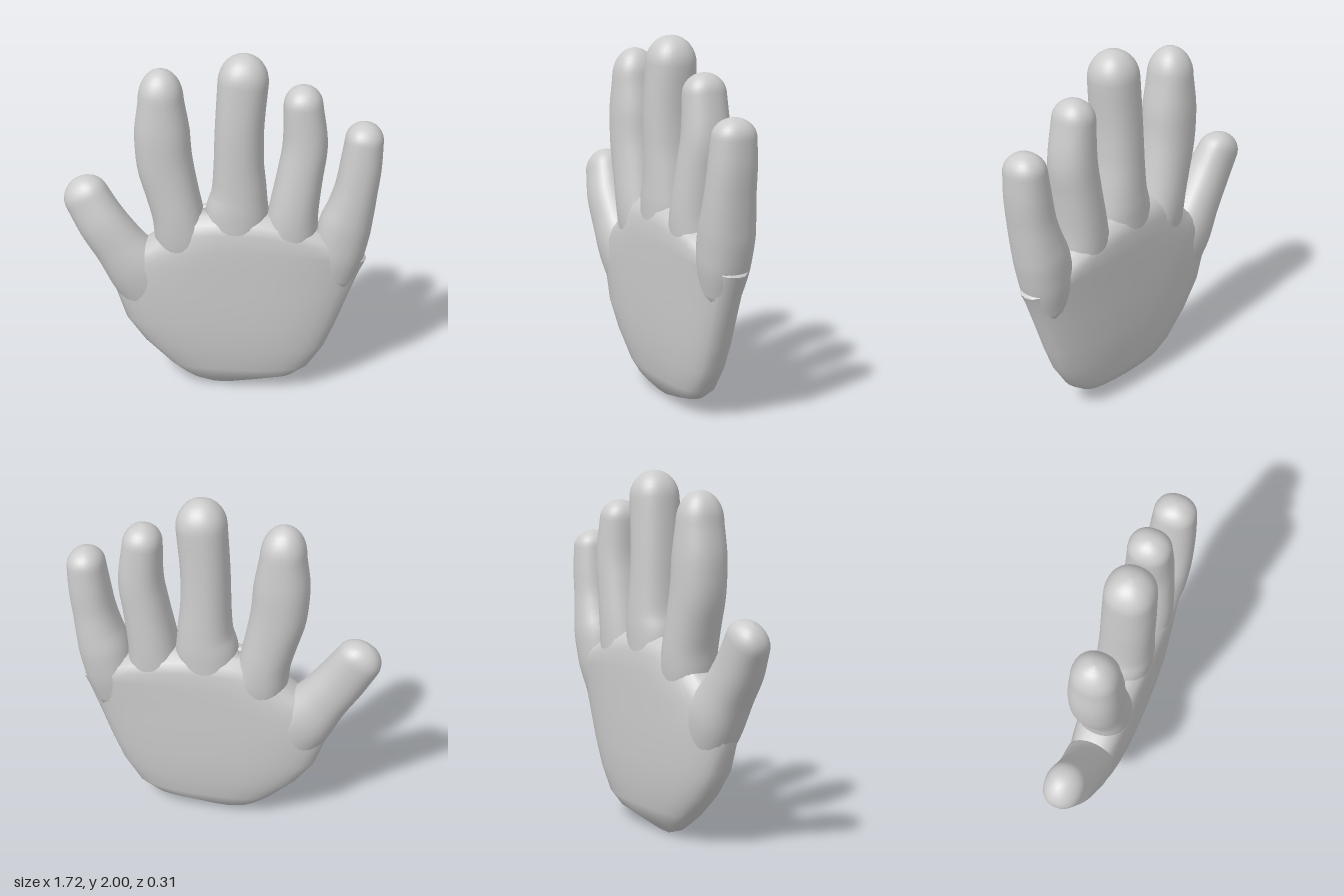
import * as THREE from 'three';

const SIDES = 32;
const material = new THREE.MeshStandardMaterial({ color: 0xcccccc });

// Closed smooth skin over a stack of rings, each an array of SIDES points
function loft(name, rings) {
  const pos = [], index = [];
  for (const ring of rings) for (const p of ring) pos.push(p.x, p.y, p.z);
  const centre = (ring) => {
    const c = new THREE.Vector3();
    ring.forEach((p) => c.add(p));
    c.divideScalar(SIDES);
    pos.push(c.x, c.y, c.z);
    return pos.length / 3 - 1;
  };
  const last = (rings.length - 1) * SIDES;
  const bottom = centre(rings[0]);
  const top = centre(rings[rings.length - 1]);
  for (let j = 0; j < SIDES; j++) {
    const k = (j + 1) % SIDES;
    for (let a = 0; a < last; a += SIDES) {
      const b = a + SIDES;
      index.push(a + j, b + j, a + k, b + j, b + k, a + k);
    }
    index.push(bottom, j, k, top, last + k, last + j);
  }
  const geometry = new THREE.BufferGeometry();
  geometry.setAttribute('position', new THREE.Float32BufferAttribute(pos, 3));
  geometry.setIndex(index);
  geometry.computeVertexNormals();
  const mesh = new THREE.Mesh(geometry, material);
  mesh.name = name;
  return mesh;
}

const power = (v, e) => Math.sign(v) * Math.abs(v) ** e;

// Palm rows: height, x from, x to, half depth, arch (how far the sides drop)
function createPalm() {
  const rows = [
    [0, -0.04, 0.06, 0.003, 0],
    [0.04, -0.15, 0.24, 0.042, 0],
    [0.085, -0.21, 0.41, 0.085, 0],
    [0.15, -0.29, 0.5, 0.115, 0],
    [0.29, -0.43, 0.59, 0.134, 0],
    [0.44, -0.535, 0.65, 0.148, 0],
    [0.64, -0.6, 0.72, 0.151, 0],
    [0.8, -0.61, 0.77, 0.152, 0.05],
    [0.92, -0.47, 0.8, 0.153, 0.15],
    [1.02, -0.36, 0.8, 0.15, 0.35],
    [1.08, -0.33, 0.77, 0.132, 0.45],
    [1.12, -0.31, 0.74, 0.085, 0.5],
    [1.135, -0.3, 0.72, 0.01, 0.5],
  ];
  return loft('palm', rows.map(([y, x0, x1, depth, arch]) =>
    Array.from({ length: SIDES }, (_, j) => {
      const a = (j / SIDES) * Math.PI * 2;
      const x = (x0 + x1) / 2 + ((x1 - x0) / 2) * power(Math.cos(a), 0.74);
      return new THREE.Vector3(x, y - arch * (x - 0.08) ** 2, depth * power(Math.sin(a), 0.74));
    })));
}

// Finger keys from root to tip: x, y, half width, half depth, z; then a domed end
function createFinger(name, keys, tipLength) {
  const path = new THREE.CatmullRomCurve3(keys.map((k) => new THREE.Vector3(k[0], k[1], k[4])));
  const size = new THREE.CatmullRomCurve3(keys.map((k) => new THREE.Vector3(k[2], k[3], 0)));
  const ringAt = (p, dir, w, d) => Array.from({ length: SIDES }, (_, j) => {
    const a = (j / SIDES) * Math.PI * 2;
    const c = w * power(Math.cos(a), 0.9);
    return new THREE.Vector3(p.x + dir.y * c, p.y - dir.x * c, p.z + d * power(Math.sin(a), 0.9));
  });
  const rings = [];
  const steps = 24;
  for (let i = 0; i <= steps; i++) {
    const t = i / steps;
    const s = size.getPoint(t);
    rings.push(ringAt(path.getPoint(t), path.getTangent(t), s.x, s.y));
  }
  const end = path.getPoint(1), dir = path.getTangent(1), s = size.getPoint(1);
  for (let i = 1; i <= 8; i++) {
    const a = (i / 8) * 1.53;
    const p = end.clone().addScaledVector(dir, tipLength * Math.sin(a));
    rings.push(ringAt(p, dir, s.x * Math.cos(a), s.y * Math.cos(a)));
  }
  return loft(name, rings);
}

export function createModel() {
  const hand = new THREE.Group();
  hand.name = 'hand';
  hand.add(
    createPalm(),
    createFinger('thumb', [
      [-0.33, 0.52, 0.17, 0.1, 0],
      [-0.46, 0.73, 0.17, 0.135, 0],
      [-0.565, 0.885, 0.143, 0.128, 0.005],
      [-0.655, 1.02, 0.135, 0.12, 0.005],
      [-0.735, 1.16, 0.127, 0.105, -0.01],
    ], 0.115),
    createFinger('indexFinger', [
      [-0.17, 0.75, 0.14, 0.11, 0],
      [-0.21, 0.95, 0.15, 0.143, 0],
      [-0.235, 1.09, 0.14, 0.148, 0],
      [-0.265, 1.22, 0.143, 0.145, 0],
      [-0.3, 1.38, 0.15, 0.142, 0],
      [-0.312, 1.55, 0.148, 0.14, 0],
      [-0.315, 1.74, 0.12, 0.125, 0],
    ], 0.165),
    createFinger('middleFinger', [
      [0.08, 0.75, 0.16, 0.11, 0],
      [0.085, 0.95, 0.17, 0.145, 0],
      [0.09, 1.1, 0.172, 0.15, 0],
      [0.1, 1.22, 0.15, 0.148, 0],
      [0.097, 1.4, 0.134, 0.143, 0.005],
      [0.1, 1.6, 0.13, 0.14, 0.01],
      [0.117, 1.85, 0.133, 0.132, 0.01],
    ], 0.15),
    createFinger('ringFinger', [
      [0.36, 0.75, 0.14, 0.11, 0],
      [0.38, 0.95, 0.15, 0.143, 0],
      [0.395, 1.12, 0.135, 0.148, 0],
      [0.425, 1.33, 0.124, 0.138, -0.005],
      [0.447, 1.5, 0.12, 0.128, -0.01],
      [0.432, 1.72, 0.104, 0.115, -0.01],
    ], 0.11),
    createFinger('littleFinger', [
      [0.6, 0.7, 0.125, 0.1, 0],
      [0.645, 0.88, 0.142, 0.135, 0],
      [0.675, 1.03, 0.143, 0.143, 0],
      [0.705, 1.15, 0.127, 0.138, 0.005],
      [0.728, 1.27, 0.115, 0.13, 0.01],
      [0.745, 1.4, 0.111, 0.125, 0.01],
      [0.756, 1.54, 0.102, 0.115, 0.01],
    ], 0.1),
  );
  return hand;
}
